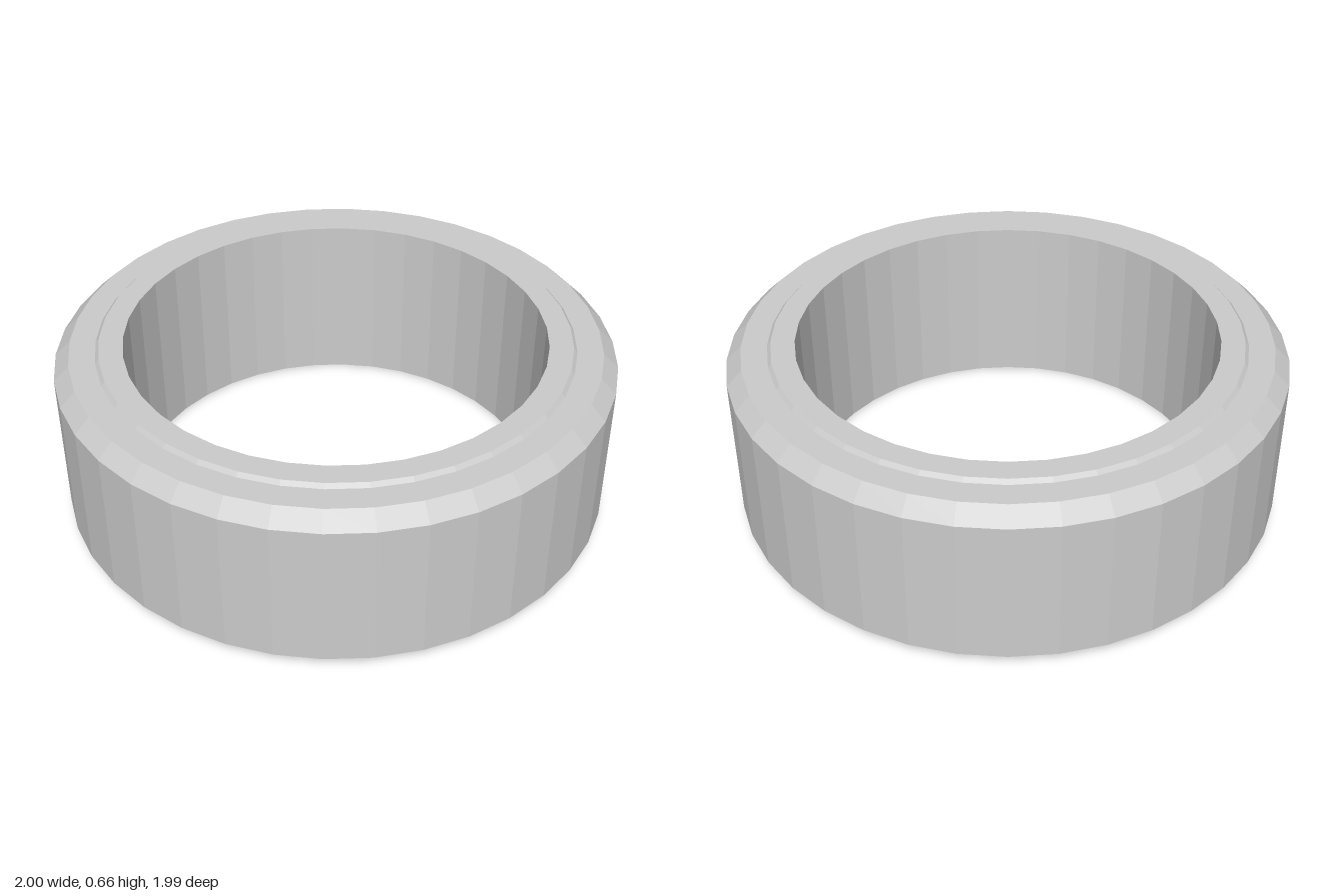
import * as THREE from 'three';

export function createModel() {
  const group = new THREE.Group();
  group.name = 'ringCollar';
  const material = new THREE.MeshStandardMaterial({ color: 0xcccccc, flatShading: true });

  // Closed cross-section: base, chamfered outer wall, raised inner lip, bore
  const profile = [
    [0.755, 0], [0.945, 0], [1, 0.055], [1, 0.595], [0.945, 0.648],
    [0.853, 0.648], [0.84, 0.662], [0.755, 0.662], [0.755, 0],
  ].map(([r, y]) => new THREE.Vector2(r, y));

  // 38 facets, with a vertex on each end of the x axis
  const ring = new THREE.Mesh(new THREE.LatheGeometry(profile, 38, Math.PI / 2), material);
  ring.name = 'chamferedRing';
  group.add(ring);
  return group;
}
